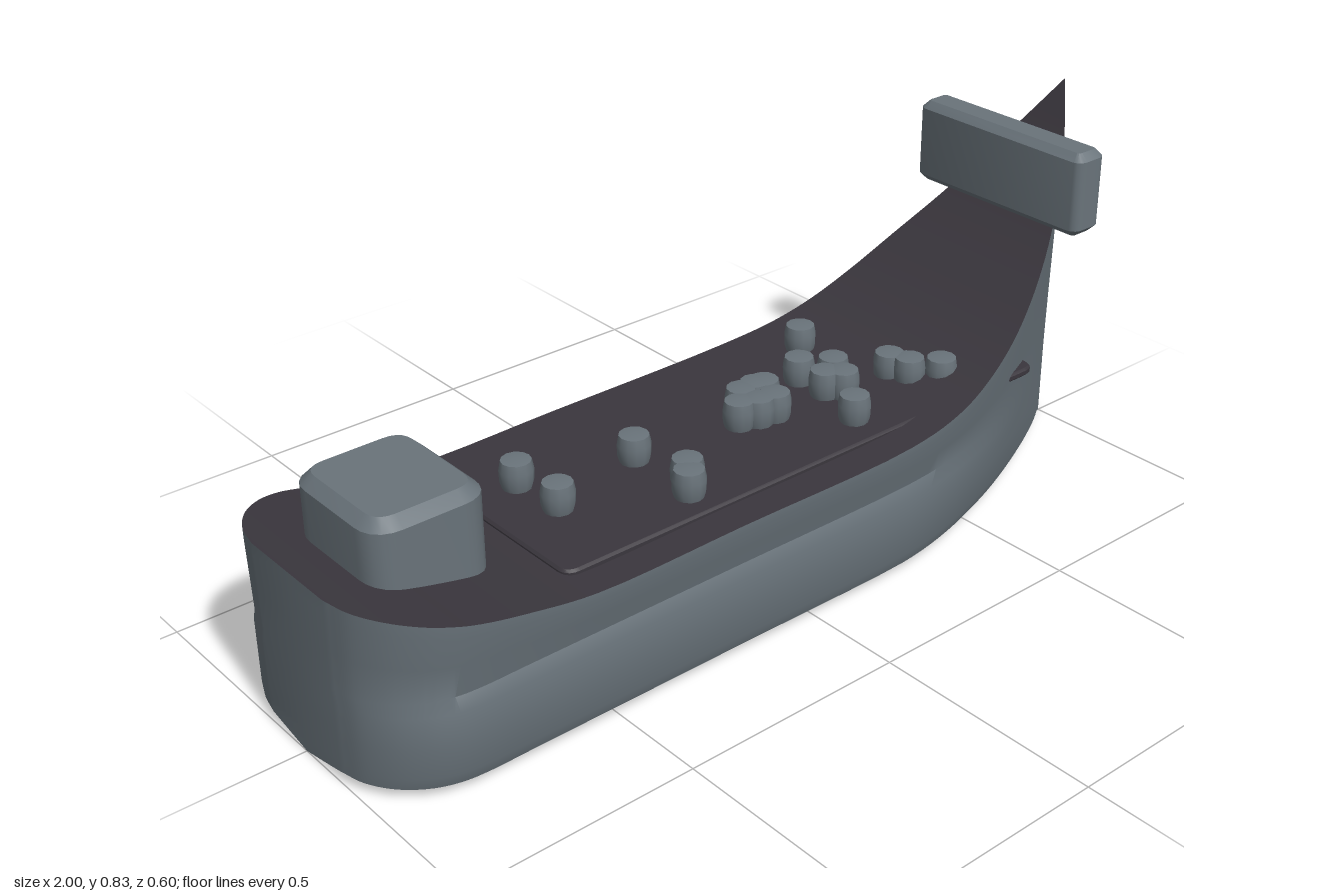
import * as THREE from 'three';
import { toCreasedNormals } from 'three/addons/utils/BufferGeometryUtils.js';

// hull lines: x, half width, deck height
const LINES = [
  [-1, 0.12, 0.39], [-0.985, 0.18, 0.387], [-0.95, 0.235, 0.381], [-0.9, 0.275, 0.37], [-0.85, 0.294, 0.358],
  [-0.8, 0.3, 0.345], [-0.7, 0.3, 0.323], [-0.55, 0.3, 0.3], [-0.2, 0.3, 0.3], [0.25, 0.3, 0.302],
  [0.4, 0.287, 0.32], [0.5, 0.27, 0.352], [0.6, 0.246, 0.405], [0.7, 0.21, 0.478], [0.8, 0.16, 0.565],
  [0.88, 0.108, 0.655], [0.94, 0.06, 0.735], [1, 0, 0.83],
];

function meshGeometry(positions, indices) {
  const g = new THREE.BufferGeometry();
  g.setAttribute('position', new THREE.Float32BufferAttribute(positions, 3));
  g.setIndex(indices);
  g.computeVertexNormals();
  return g;
}

// half section from deck edge down to keel, as [z, y]
function halfSection(x, w, deck) {
  const bow = THREE.MathUtils.smoothstep(x, 0.2, 0.95);
  const rows = [
    [1, deck], [1, 0.2 + (deck - 0.2) * 0.85], [1 - 0.025 * (1 - bow), 0.2 + (deck - 0.2) * 0.45],
    [1 - 0.048 * (1 - bow), 0.205], [1, 0.18], [1, 0.11], [1, 0.05], [0.97, 0.024], [0.5, 0.012], [0, 0],
  ];
  return rows.map(([f, y]) => [f * w * (1 - 0.28 * bow * (1 - y / deck)), y]);
}

function roundedRect(x0, x1, halfZ, r) {
  const s = new THREE.Shape();
  s.moveTo(x0 + r, -halfZ);
  s.lineTo(x1 - r, -halfZ);
  s.quadraticCurveTo(x1, -halfZ, x1, -halfZ + r);
  s.lineTo(x1, halfZ - r);
  s.quadraticCurveTo(x1, halfZ, x1 - r, halfZ);
  s.lineTo(x0 + r, halfZ);
  s.quadraticCurveTo(x0, halfZ, x0, halfZ - r);
  s.lineTo(x0, -halfZ + r);
  s.quadraticCurveTo(x0, -halfZ, x0 + r, -halfZ);
  return s;
}

// upright block with chamfered top and bottom edges
function block(x0, x1, halfZ, y0, y1, r, bevel) {
  const g = new THREE.ExtrudeGeometry(roundedRect(x0 + bevel, x1 - bevel, halfZ - bevel, r), {
    depth: y1 - y0 - 2 * bevel, bevelEnabled: true, bevelThickness: bevel, bevelSize: bevel,
    bevelSegments: 1, curveSegments: 5,
  });
  g.rotateX(-Math.PI / 2).translate(0, y0 + bevel, 0);
  return toCreasedNormals(g, 0.5);
}

export function createModel() {
  const group = new THREE.Group();
  const material = (name, color) => {
    const m = new THREE.MeshStandardMaterial({ color });
    m.name = name;
    return m;
  };
  const hullGrey = material('hull grey', 0x667077);
  const fittingGrey = material('fitting grey', 0x69737a);
  const deckDark = material('deck charcoal', 0x3a363d);
  const add = (name, geometry, mat) => {
    const m = new THREE.Mesh(geometry, mat);
    m.name = name;
    group.add(m);
    return m;
  };

  // hull skin lofted through smooth stations, closed by a flat transom
  const stations = new THREE.CatmullRomCurve3(LINES.map((p) => new THREE.Vector3(...p))).getPoints(85);
  const pos = [], idx = [];
  let cols = 0;
  const addRing = (x, half) => {
    const ring = [...half.map(([z, y]) => [z, y]), ...half.slice(0, -1).reverse().map(([z, y]) => [-z, y])];
    cols = ring.length;
    ring.forEach(([z, y]) => pos.push(x, y, z));
  };
  const first = stations[0];
  addRing(first.x, halfSection(first.x, first.y, first.z).map(([, y]) => [0, y]));
  stations.forEach((s) => addRing(s.x, halfSection(s.x, Math.max(s.y, 0), s.z)));
  for (let i = 0; i < stations.length; i++) {
    for (let j = 0; j < cols - 1; j++) {
      const a = i * cols + j, b = a + cols;
      idx.push(a, a + 1, b, b, a + 1, b + 1);
    }
  }
  add('hull', toCreasedNormals(meshGeometry(pos, idx), 0.6), hullGrey);

  // deck following the sheer up to the bow
  const deckPos = [], deckIdx = [];
  stations.forEach((s, i) => {
    const w = Math.max(s.y, 0);
    deckPos.push(s.x, s.z, -w, s.x, s.z, w);
    if (i > 0) {
      const a = 2 * (i - 1);
      deckIdx.push(a, a + 1, a + 2, a + 2, a + 1, a + 3);
    }
  });
  add('deck', meshGeometry(deckPos, deckIdx), deckDark);

  // raised deck plate, its forward corners show through the bow sides
  add('deckPlate', block(-0.565, 0.7, 0.227, 0.291, 0.31, 0.025, 0.005), deckDark);

  // stern cabin and bow bridge
  add('sternCabin', block(-0.905, -0.655, 0.142, 0.28, 0.5, 0.04, 0.022), fittingGrey);
  add('bowBridge', block(0.785, 0.87, 0.234, 0.58, 0.767, 0.008, 0.016), fittingGrey);

  // barrels scattered on the deck
  const barrelProfile = [[0.028, 0], [0.034, 0.02], [0.035, 0.045], [0.031, 0.066], [0, 0.07]];
  const barrel = toCreasedNormals(
    new THREE.LatheGeometry(barrelProfile.map(([r, y]) => new THREE.Vector2(r, y)), 12), 0.7);
  const spots = [
    [-0.45, -0.085], [-0.44, 0.035], [-0.215, -0.015], [-0.195, 0.125], [-0.22, 0.16],
    [0.035, 0.015], [0.075, -0.025], [0.075, 0.03], [0.115, -0.028], [0.115, 0.035], [0.135, -0.022],
    [0.26, -0.05], [0.26, 0.03], [0.29, 0.055], [0.315, -0.003], [0.365, -0.16], [0.23, 0.15],
    [0.42, 0.06], [0.435, 0.105], [0.485, 0.15],
  ];
  spots.forEach(([x, z], i) => add(`barrel${i + 1}`, barrel, fittingGrey).position.set(x, 0.304, z));

  return group;
}
